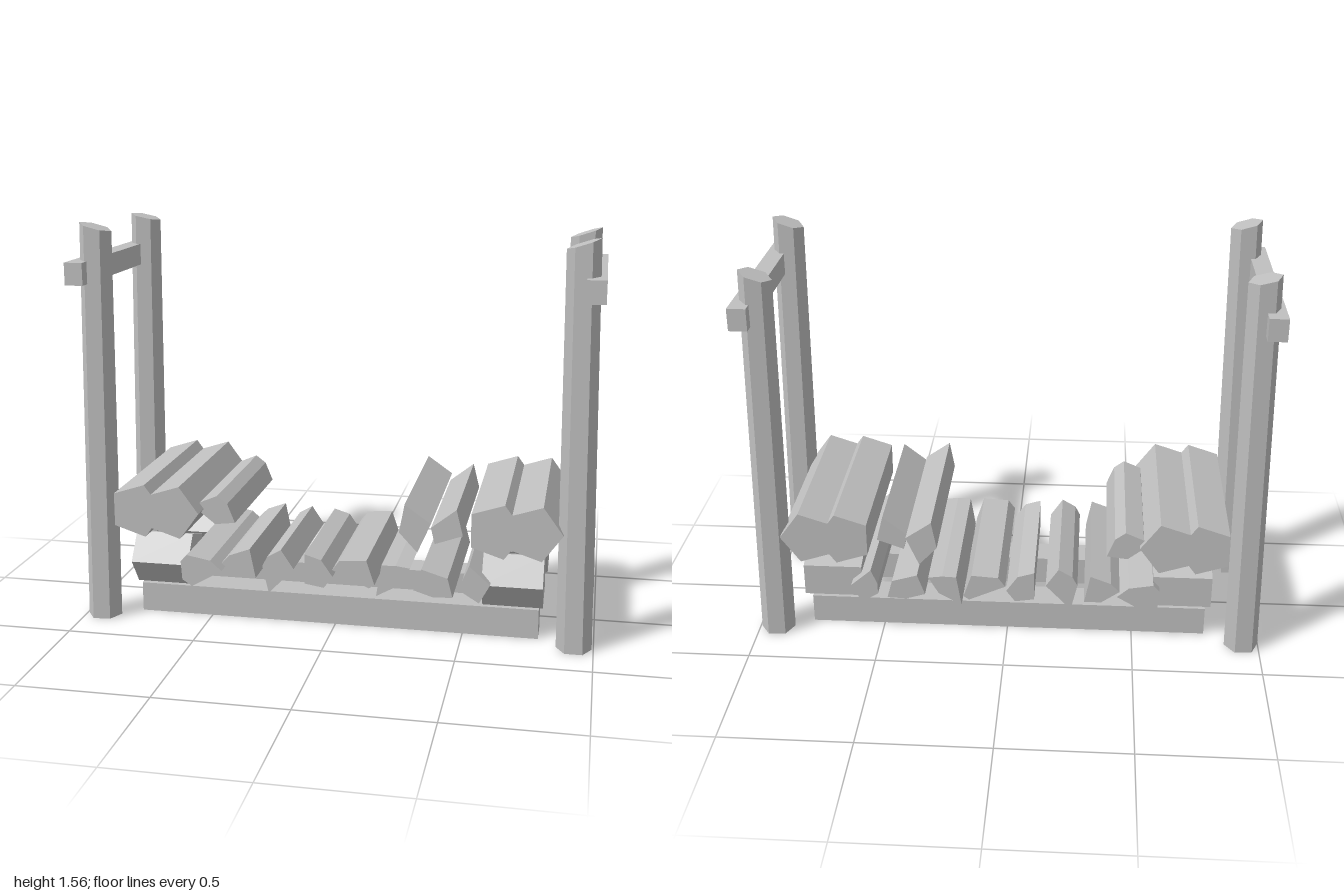
import * as THREE from 'three';

export function createModel() {
  const rack = new THREE.Group();
  rack.name = 'firewoodRack';
  const wood = new THREE.MeshStandardMaterial({ color: 0xbfbfbf, flatShading: true });
  wood.name = 'greyWood';

  const add = (geometry, name) => {
    const mesh = new THREE.Mesh(geometry, wood);
    mesh.name = name;
    rack.add(mesh);
    return mesh;
  };
  // Box given by its limits on each axis
  const beam = (x0, x1, y0, y1, z0, z1, name) =>
    add(new THREE.BoxGeometry(x1 - x0, y1 - y0, z1 - z0), name)
      .position.set((x0 + x1) / 2, (y0 + y1) / 2, (z0 + z1) / 2);
  // Prism along z from a cross-section
  const prism = (points, z0, z1) => {
    const shape = new THREE.Shape(points.map(([x, y]) => new THREE.Vector2(x, y)));
    return new THREE.ExtrudeGeometry(shape, { depth: z1 - z0, bevelEnabled: false }).translate(0, 0, z0);
  };
  const pentagon = (cx, cy, r) => Array.from({ length: 5 }, (_, i) => {
    const a = i * Math.PI * 2 / 5;
    return [cx + r * Math.cos(a), cy + r * Math.sin(a)];
  });

  // Leaning six-sided posts with slanted tops: [bottom x, top x, z, mid top height, slope, turn]
  const post = (xb, xt, z, h, slope, turn, name) => {
    const g = new THREE.CylinderGeometry(0.061, 0.067, 1, 6, 1, false, Math.PI / 2 + turn).translate(0, 0.5, 0);
    const p = g.attributes.position;
    for (let i = 0; i < p.count; i++) {
      const top = p.getY(i) > 0.5;
      const x = p.getX(i);
      p.setXYZ(i, x + (top ? xt : xb), top ? h + slope * x : 0, p.getZ(i) + z);
    }
    g.computeVertexNormals();
    add(g, name);
  };
  post(0.927, 0.905, 0.298, 1.52, 0.33, 0, 'leftFrontPost');
  post(0.927, 0.903, -0.285, 1.5, 0.33, 0.08, 'leftBackPost');
  post(-0.927, -0.9, 0.298, 1.545, -0.27, 0.08, 'rightFrontPost');
  post(-0.933, -0.91, -0.3, 1.53, -0.22, 0.1, 'rightBackPost');

  // Bars joining the posts
  beam(-0.99, -0.92, 1.335, 1.42, -0.405, 0.4, 'rightTopBar');
  beam(0.92, 0.99, 1.32, 1.405, -0.385, 0.4, 'leftTopBar');

  // Floor rails
  beam(-0.79, 0.79, 0, 0.117, 0.11, 0.235, 'frontRail');
  beam(-0.79, 0.79, 0, 0.117, -0.235, -0.11, 'backRail');

  // Short support logs lying along the rails
  for (const x of [-0.69, 0.69]) {
    for (const z of [0.2, -0.205]) {
      add(prism(pentagon(z, 0.23, 0.11), -0.115, 0.115).rotateY(-Math.PI / 2).translate(x, 0, 0), 'supportLog');
    }
  }

  // Large upper logs, two at each end
  for (const x of [-0.765, -0.625, 0.625, 0.765]) {
    add(prism(pentagon(x, 0.455, 0.11), -0.355, 0.345), 'largeLog');
  }

  // Split logs: [back z, front z, cross-section]
  const splitLogs = [
    [-0.33, 0.32, [[-0.595, 0.175], [-0.555, 0.15], [-0.435, 0.22], [-0.48, 0.26], [-0.575, 0.277], [-0.6, 0.25]]],
    [-0.325, 0.285, [[-0.445, 0.24], [-0.375, 0.19], [-0.307, 0.188], [-0.33, 0.305], [-0.41, 0.275]]],
    [-0.29, 0.285, [[-0.28, 0.24], [-0.255, 0.13], [-0.155, 0.235], [-0.205, 0.31], [-0.26, 0.278]]],
    [-0.305, 0.288, [[-0.11, 0.18], [-0.035, 0.168], [0, 0.215], [-0.045, 0.28], [-0.11, 0.3]]],
    [-0.33, 0.305, [[0.002, 0.25], [0.145, 0.185], [0.167, 0.2], [0.135, 0.295], [0.03, 0.288]]],
    [-0.33, 0.315, [[0.175, 0.16], [0.265, 0.21], [0.305, 0.28], [0.25, 0.287], [0.195, 0.285]]],
    [-0.325, 0.33, [[0.32, 0.2], [0.395, 0.177], [0.47, 0.18], [0.45, 0.255], [0.35, 0.285]]],
    [-0.34, 0.33, [[0.505, 0.205], [0.57, 0.165], [0.61, 0.24], [0.53, 0.31], [0.505, 0.25]]],
    [-0.333, 0.273, [[-0.54, 0.45], [-0.47, 0.395], [-0.39, 0.405], [-0.42, 0.48], [-0.46, 0.51], [-0.53, 0.48]]],
    [-0.355, 0.34, [[0.265, 0.43], [0.335, 0.355], [0.385, 0.47], [0.285, 0.54]]],
    [-0.305, 0.338, [[0.385, 0.455], [0.4, 0.392], [0.505, 0.43], [0.48, 0.53]]],
  ];
  for (const [z0, z1, section] of splitLogs) add(prism(section, z0, z1), 'splitLog');

  return rack;
}
